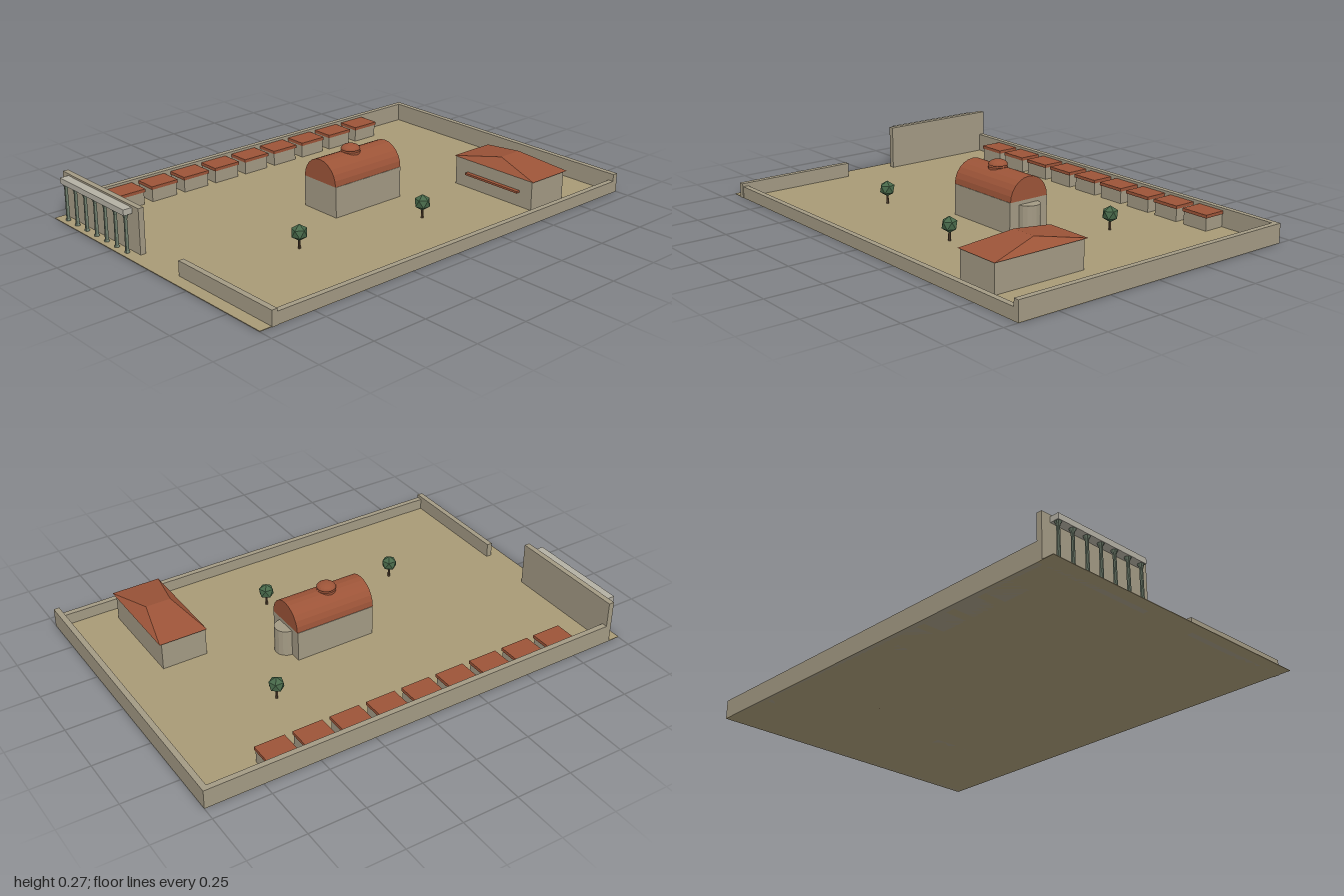
import * as THREE from 'three';

const mat = (color) => new THREE.MeshStandardMaterial({ color, flatShading: true, side: THREE.DoubleSide });

export function createModel() {
  const root = new THREE.Group();
  const earth = mat(0xa89a76), stone = mat(0xa39a84), pale = mat(0xb4b0a4);
  const tile = mat(0x9c5438), leaf = mat(0x48694a), bark = mat(0x5a4632), column = mat(0x71806f);

  const add = (name, geometry, material, parent = root) => {
    const mesh = new THREE.Mesh(geometry, material);
    mesh.name = name;
    parent.add(mesh);
    return mesh;
  };
  // box given by its extents on each axis
  const box = (name, material, [x0, x1], [y0, y1], [z0, z1], parent) => {
    const m = add(name, new THREE.BoxGeometry(x1 - x0, y1 - y0, z1 - z0), material, parent);
    m.position.set((x0 + x1) / 2, (y0 + y1) / 2, (z0 + z1) / 2);
    return m;
  };
  const group = (name) => {
    const g = new THREE.Group();
    g.name = name;
    root.add(g);
    return g;
  };

  // courtyard and its walls
  box('ground', earth, [-0.688, 0.685], [0, 0.003], [-1, 1]);
  box('backWall', stone, [-0.688, 0.685], [0, 0.085], [-1, -0.975]);
  box('leftSideWall', stone, [0.66, 0.685], [0, 0.053], [-0.975, 0.922]);
  box('rightSideWall', stone, [-0.688, -0.663], [0, 0.085], [-0.975, 0.922]);
  box('frontWall', stone, [0.127, 0.688], [0, 0.067], [0.921, 0.946]);

  // tall gate wall with a colonnade
  const gate = group('gate');
  box('gateWall', stone, [-0.688, -0.13], [0, 0.199], [0.921, 0.946], gate);
  box('entablature', pale, [-0.645, -0.175], [0.166, 0.191], [0.946, 0.986], gate);
  const profile = [[0.011, 0], [0.011, 0.006], [0.008, 0.012], [0.007, 0.145], [0.009, 0.155], [0.014, 0.166]]
    .map(([r, y]) => new THREE.Vector2(r, y));
  for (let i = 0; i < 7; i++) {
    add('column', new THREE.LatheGeometry(profile, 10), column, gate).position.set(-0.63 + i * 0.0737, 0, 0.97);
  }

  // church: nave, barrel roof, lantern, dome and apse
  const church = group('church');
  box('nave', stone, [-0.1, 0.1], [0, 0.14], [-0.245, 0.125], church);
  const barrel = add('barrelRoof',
    new THREE.CylinderGeometry(0.098, 0.098, 0.374, 12, 1, false, Math.PI / 2, Math.PI), tile, church);
  barrel.rotation.x = Math.PI / 2;
  barrel.position.set(0, 0.14, -0.06);
  // close the two half-round gables
  const gable = new THREE.CircleGeometry(0.098, 12, 0, Math.PI);
  [0.127, -0.247].forEach((z) => add('gable', gable, tile, church).position.set(0, 0.14, z));
  add('lantern', new THREE.CylinderGeometry(0.042, 0.042, 0.03, 16), tile, church).position.set(0, 0.224, -0.045);
  const dome = add('dome',
    new THREE.SphereGeometry(0.042, 16, 6, 0, Math.PI * 2, 0, Math.PI / 2), tile, church);
  dome.scale.y = 0.52;
  dome.position.set(0, 0.246, -0.045);
  add('apse', new THREE.CylinderGeometry(0.05, 0.05, 0.123, 16), stone, church).position.set(0, 0.0615, -0.245);

  // house with a hipped roof whose short ridge runs front to back
  const house = group('house');
  box('houseWalls', stone, [0.149, 0.587], [0, 0.132], [-0.748, -0.545], house);
  box('awning', tile, [0.22, 0.52], [0.066, 0.075], [-0.545, -0.526], house);
  const roof = new THREE.BoxGeometry(1, 1, 1);
  const p = roof.attributes.position;
  for (let i = 0; i < p.count; i++) {
    const sx = Math.sign(p.getX(i)), sz = Math.sign(p.getZ(i)), top = p.getY(i) > 0;
    p.setXYZ(i, top ? 0.368 : 0.368 + sx * 0.228, top ? 0.174 : 0.132,
      -0.651 + sz * (top ? 0.057 : 0.109));
  }
  roof.computeVertexNormals();
  add('hippedRoof', roof, tile, house);

  // row of cells along the side wall
  const cells = group('cells');
  for (let i = 0; i < 9; i++) {
    const z = 0.697 - i * 0.1685;
    box('cellWalls', stone, [-0.663, -0.565], [0, 0.06], [z - 0.063, z + 0.063], cells);
    box('cellRoof', tile, [-0.663, -0.56], [0.06, 0.074], [z - 0.067, z + 0.067], cells);
  }

  // trees
  const crown = new THREE.IcosahedronGeometry(0.036, 0).rotateZ(-0.5536);
  [[-0.27, -0.45], [0.335, -0.147], [0.235, 0.44]].forEach(([x, z]) => {
    const tree = group('tree');
    tree.position.set(x, 0, z);
    add('trunk', new THREE.CylinderGeometry(0.005, 0.006, 0.05, 6), bark, tree).position.y = 0.025;
    add('crown', crown, leaf, tree).position.y = 0.072;
  });

  return root;
}
